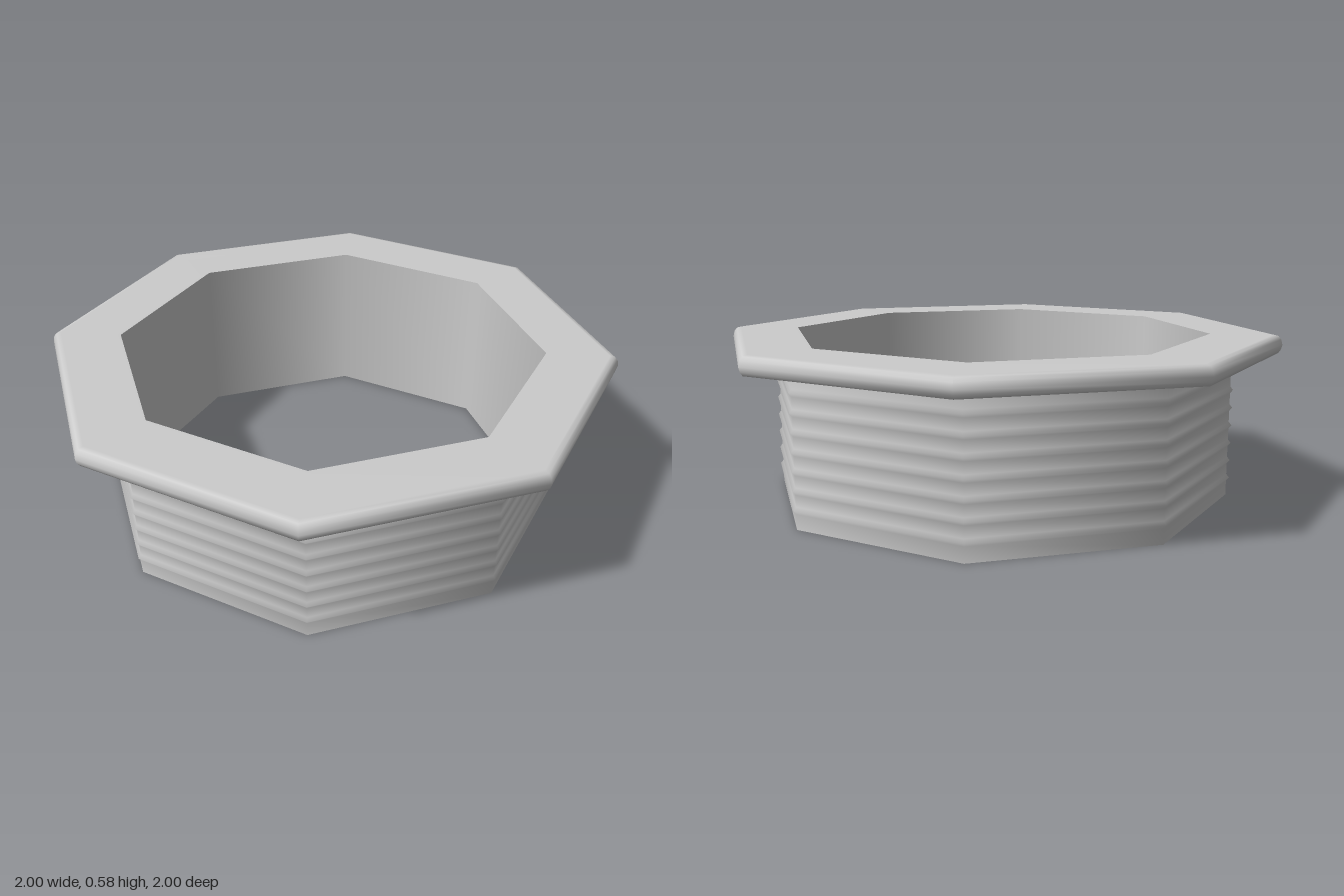
import * as THREE from 'three';

const SIDES = 8;
const INNER = 0.75, BODY = 0.828, RIDGE = 0.838;
const FLANGE_BOTTOM = 0.512, TOP = 0.585;

export function createModel() {
  const group = new THREE.Group();
  group.name = 'threadedCollar';
  const material = new THREE.MeshStandardMaterial({ color: 0xcccccc });

  // Eight-sided ring swept from a [radius, height] profile
  const addRing = (name, profile) => {
    const points = profile.map(([r, y]) => new THREE.Vector2(r, y));
    const mesh = new THREE.Mesh(new THREE.LatheGeometry(points, SIDES), material);
    mesh.name = name;
    group.add(mesh);
  };

  // Outer wall with seven thin ridges
  const wall = [[BODY, 0]];
  for (let i = 1; i <= 7; i++) {
    const y = i * 0.0643;
    wall.push([BODY, y - 0.012], [RIDGE, y], [BODY, y + 0.012]);
  }
  wall.push([BODY, FLANGE_BOTTOM + 0.002]);
  addRing('ridgedWall', wall);

  // Wide flange with a softened rim
  addRing('flange', [
    [BODY, FLANGE_BOTTOM], [0.96, 0.517], [0.987, 0.521], [0.996, 0.534],
    [1, 0.55], [0.995, 0.569], [0.985, 0.581], [0.968, TOP], [INNER, TOP],
  ]);

  // Straight bore and bottom edge
  addRing('innerWall', [[INNER, TOP], [INNER, 0]]);
  addRing('bottomEdge', [[INNER, 0], [BODY, 0]]);

  return group;
}
